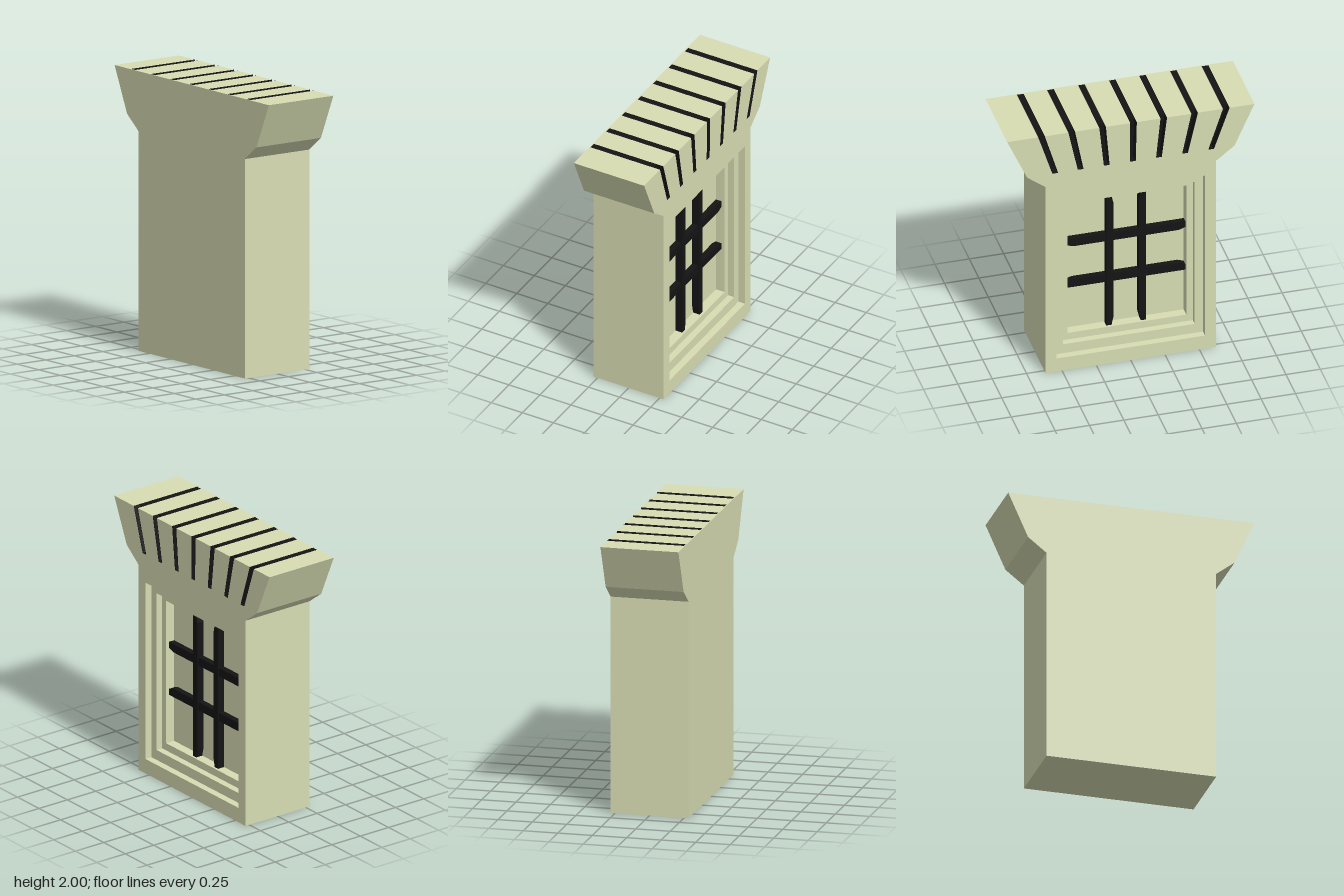
import * as THREE from 'three';

const stone = new THREE.MeshStandardMaterial({ color: 0xd8ddb3, flatShading: true });
const dark = new THREE.MeshStandardMaterial({ color: 0x141414, flatShading: true });

// Slot centres along the crown: [bottom, top]
const SLOTS = [[-0.55, -0.65], [-0.365, -0.43], [-0.175, -0.205], [0.015, 0.02],
  [0.205, 0.24], [0.395, 0.465], [0.585, 0.695]];
const SLOT_Y = 1.675, HALF = 0.021, HALF_TOP = 0.024;
const FACE = 0.283;

export function createModel() {
  const group = new THREE.Group();

  // Extrude a side outline (u = -z, y) from x0 to x1
  function slab(name, points, x0, x1, material, hole) {
    const shape = new THREE.Shape(points.map(([u, y]) => new THREE.Vector2(u, y)));
    if (hole) {
      const [w, y0, y1] = hole;
      shape.holes.push(new THREE.Path([[-w, y0], [-w, y1], [w, y1], [w, y0]]
        .map(([u, y]) => new THREE.Vector2(u, y))));
    }
    const geo = new THREE.ExtrudeGeometry(shape, { depth: x1 - x0, bevelEnabled: false });
    geo.rotateY(Math.PI / 2).translate(x0, 0, 0);
    const mesh = new THREE.Mesh(geo, material);
    mesh.name = name;
    group.add(mesh);
  }

  // Flared wall outline, with or without the crown slots
  function outline(slotted) {
    const pts = [[-0.62, 0], [0.62, 0], [0.62, 1.57], [0.755, 1.675], [0.9, 2]];
    if (slotted) {
      for (const [b, t] of [...SLOTS].reverse()) {
        pts.push([t + HALF_TOP, 2], [b + HALF, SLOT_Y], [b - HALF, SLOT_Y], [t - HALF_TOP, 2]);
      }
    }
    pts.push([-0.9, 2], [-0.755, 1.675], [-0.62, 1.57]);
    return pts;
  }

  // Wall in layers, each opening wider towards the face
  slab('backWall', outline(false), -FACE, -0.275, stone);
  slab('wallCore', outline(true), -0.275, 0.11, stone);
  slab('innerFrame', outline(true), 0.11, 0.18, stone, [0.433, 0.24, 1.33]);
  slab('middleFrame', outline(true), 0.18, 0.23, stone, [0.48, 0.185, 1.385]);
  slab('outerFrame', outline(true), 0.23, FACE, stone, [0.54, 0.11, 1.46]);

  // Dark fill and lining of each slot
  const T = 0.004;
  for (const [b, t] of SLOTS) {
    slab('slotFill', [[b - HALF, SLOT_Y], [b + HALF, SLOT_Y], [t + HALF_TOP, 2], [t - HALF_TOP, 2]],
      -0.275, 0.23, dark);
    slab('slotLining', [[b - HALF, SLOT_Y], [b + HALF, SLOT_Y], [t + HALF_TOP, 2],
      [t + HALF_TOP - T, 2], [b + HALF - T, SLOT_Y + T], [b - HALF + T, SLOT_Y + T],
      [t - HALF_TOP + T, 2], [t - HALF_TOP, 2]], 0.23, FACE, dark);
  }

  // Window bars, their inner corners cut at the ends
  for (const s of [-1, 1]) {
    const upright = [[0.145, 0.24], [0.145, 1.33], [0.107, 1.33], [0.094, 1.27],
      [0.094, 0.3], [0.107, 0.24]];
    slab('uprightBar', upright.map(([u, y]) => [s * u, y]), 0.11, 0.163, dark);
    const cross = [[-0.433, 0.203], [0.433, 0.203], [0.433, 0.157], [0.385, 0.14],
      [-0.385, 0.14], [-0.433, 0.157]];
    slab('crossBar', cross.map(([u, y]) => [u, 0.807 + s * y]), 0.11, 0.155, dark);
  }
  return group;
}
